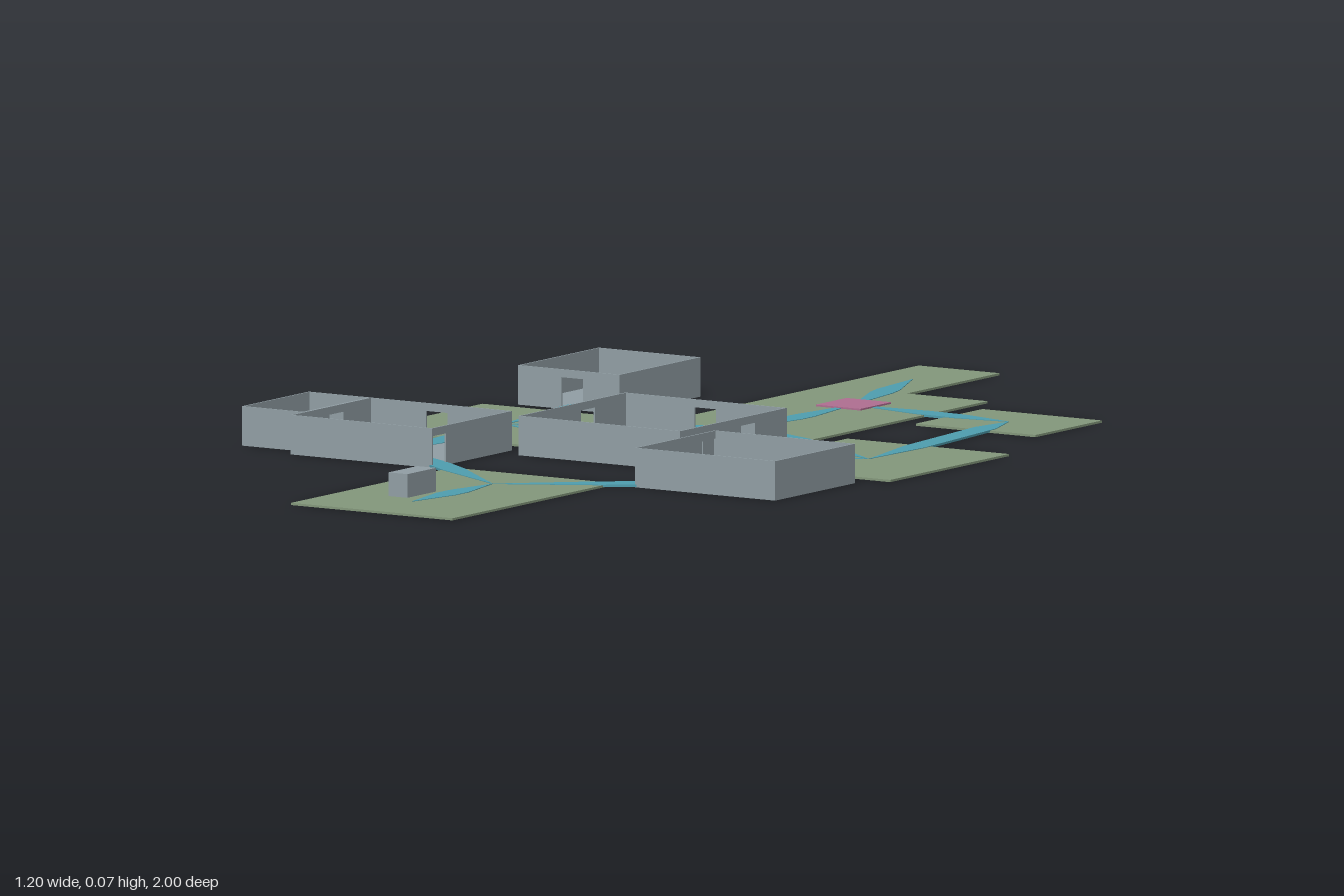
import * as THREE from 'three';

const FLOOR = 0.004, WALL_H = 0.07, WALL_T = 0.003, DOOR_W = 0.045, DOOR_H = 0.056, PATH_W = 0.042;

// name: x0, x1, z0, z1, walled
const areas = {
  backStrip: [-0.13, 0.04, -1, -0.705],
  backYard: [-0.13, 0.21, -0.705, -0.36],
  middleYard: [-0.13, 0.21, -0.36, -0.065],
  leftBackYard: [0.255, 0.507, -0.62, -0.408],
  leftYard: [0.255, 0.595, -0.19, 0.188],
  rightYard: [-0.513, -0.174, -0.19, 0.188],
  frontYard: [-0.13, 0.21, 0.487, 0.743],
  entryYard: [-0.13, 0.21, 0.743, 1],
  centralRoom: [-0.13, 0.21, -0.065, 0.275, true],
  leftRoom: [0.255, 0.55, 0.232, 0.487, true],
  rightRoom: [-0.47, -0.172, 0.232, 0.487, true],
  sideRoom: [-0.6, -0.47, 0.232, 0.445, true],
  backRoom: [-0.47, -0.256, -0.495, -0.238, true],
};

// connected pairs of areas
const links = [
  ['backStrip', 'backYard'], ['backYard', 'middleYard'], ['backYard', 'leftBackYard'],
  ['leftBackYard', 'leftYard'], ['middleYard', 'leftYard'], ['middleYard', 'rightYard'],
  ['middleYard', 'centralRoom'], ['centralRoom', 'leftYard'], ['centralRoom', 'rightYard'],
  ['centralRoom', 'leftRoom'], ['rightYard', 'backRoom'], ['rightYard', 'rightRoom'],
  ['rightRoom', 'sideRoom'], ['rightRoom', 'frontYard'], ['leftRoom', 'frontYard'],
  ['frontYard', 'entryYard'],
];

const center = ([x0, x1, z0, z1]) => new THREE.Vector2((x0 + x1) / 2, (z0 + z1) / 2);

// where the line from an area's centre towards a point leaves its outline
function exitPoint(area, target) {
  const c = center(area), d = target.clone().sub(c);
  const tx = (area[1] - area[0]) / 2 / Math.max(Math.abs(d.x), 1e-6);
  const tz = (area[3] - area[2]) / 2 / Math.max(Math.abs(d.y), 1e-6);
  const side = tx < tz ? (d.x > 0 ? 'x1' : 'x0') : (d.y > 0 ? 'z1' : 'z0');
  return { point: c.clone().addScaledVector(d, Math.min(tx, tz)), side };
}

export function createModel() {
  const model = new THREE.Group();
  model.name = 'floorPlan';
  const material = (name, color) => {
    const m = new THREE.MeshStandardMaterial({ color });
    m.name = name;
    return m;
  };
  const green = material('yardGreen', 0x84987c);
  const grey = material('roomGrey', 0x929fa5);
  const blue = material('pathBlue', 0x4f9fb0);
  const pink = material('markerPink', 0xb06f92);

  // box given by its limits on each axis
  function block(parent, name, mat, x0, x1, y0, y1, z0, z1) {
    const mesh = new THREE.Mesh(new THREE.BoxGeometry(x1 - x0, y1 - y0, z1 - z0), mat);
    mesh.position.set((x0 + x1) / 2, (y0 + y1) / 2, (z0 + z1) / 2);
    mesh.name = name;
    parent.add(mesh);
  }

  // wall along one side, cut by doorways with a lintel above each
  function wall(parent, area, side, doors) {
    const [x0, x1, z0, z1] = area;
    const alongZ = side[0] === 'x';
    const [start, end] = alongZ ? [z0, z1] : [x0, x1];
    const at = { x0, x1: x1 - WALL_T, z0, z1: z1 - WALL_T }[side];
    const piece = (name, a, b, y0) => alongZ
      ? block(parent, name, grey, at, at + WALL_T, y0, WALL_H, a, b)
      : block(parent, name, grey, a, b, y0, WALL_H, at, at + WALL_T);
    let from = start;
    for (const d of doors.sort((a, b) => a - b)) {
      piece('wall', from, d - DOOR_W / 2, 0);
      piece('lintel', d - DOOR_W / 2, d + DOOR_W / 2, DOOR_H);
      from = d + DOOR_W / 2;
    }
    piece('wall', from, end, 0);
  }

  // flat yards and walled rooms
  for (const [name, area] of Object.entries(areas)) {
    const group = new THREE.Group();
    group.name = name;
    model.add(group);
    const [x0, x1, z0, z1, walled] = area;
    block(group, 'floor', walled ? grey : green, x0, x1, 0, FLOOR, z0, z1);
    if (!walled) continue;
    const doors = { x0: [], x1: [], z0: [], z1: [] };
    for (const link of links) {
      if (!link.includes(name)) continue;
      const other = link[0] === name ? link[1] : link[0];
      const { point, side } = exitPoint(area, center(areas[other]));
      doors[side].push(side[0] === 'x' ? point.y : point.x);
    }
    for (const side in doors) wall(group, area, side, doors[side]);
  }

  // paths: full width between areas, tapering to each centre
  for (const [a, b] of links) {
    const ca = center(areas[a]), cb = center(areas[b]);
    const dir = cb.clone().sub(ca).normalize();
    const n = new THREE.Vector2(-dir.y, dir.x).multiplyScalar(PATH_W / 2);
    const ea = exitPoint(areas[a], cb).point.addScaledVector(dir, -0.02);
    const eb = exitPoint(areas[b], ca).point.addScaledVector(dir, 0.02);
    const outline = [ca, ea.clone().add(n), eb.clone().add(n), cb, eb.clone().sub(n), ea.clone().sub(n)];
    const shape = new THREE.Shape(outline.map((p) => new THREE.Vector2(p.x, -p.y)));
    const geometry = new THREE.ExtrudeGeometry(shape, { depth: 0.004, bevelEnabled: false });
    geometry.rotateX(-Math.PI / 2).translate(0, 0.001, 0);
    const path = new THREE.Mesh(geometry, blue);
    path.name = 'path';
    model.add(path);
  }

  // square floor markers
  for (const [x, z] of [[0.04, -0.535], [0.04, 0.102], [0.403, 0.357]]) {
    block(model, 'marker', pink, x - 0.047, x + 0.047, 0.002, 0.007, z - 0.049, z + 0.049);
  }

  // raised block in the entry yard
  block(model, 'entryBlock', grey, 0.02, 0.06, 0.018, 0.06, 0.825, 0.917);

  return model;
}
